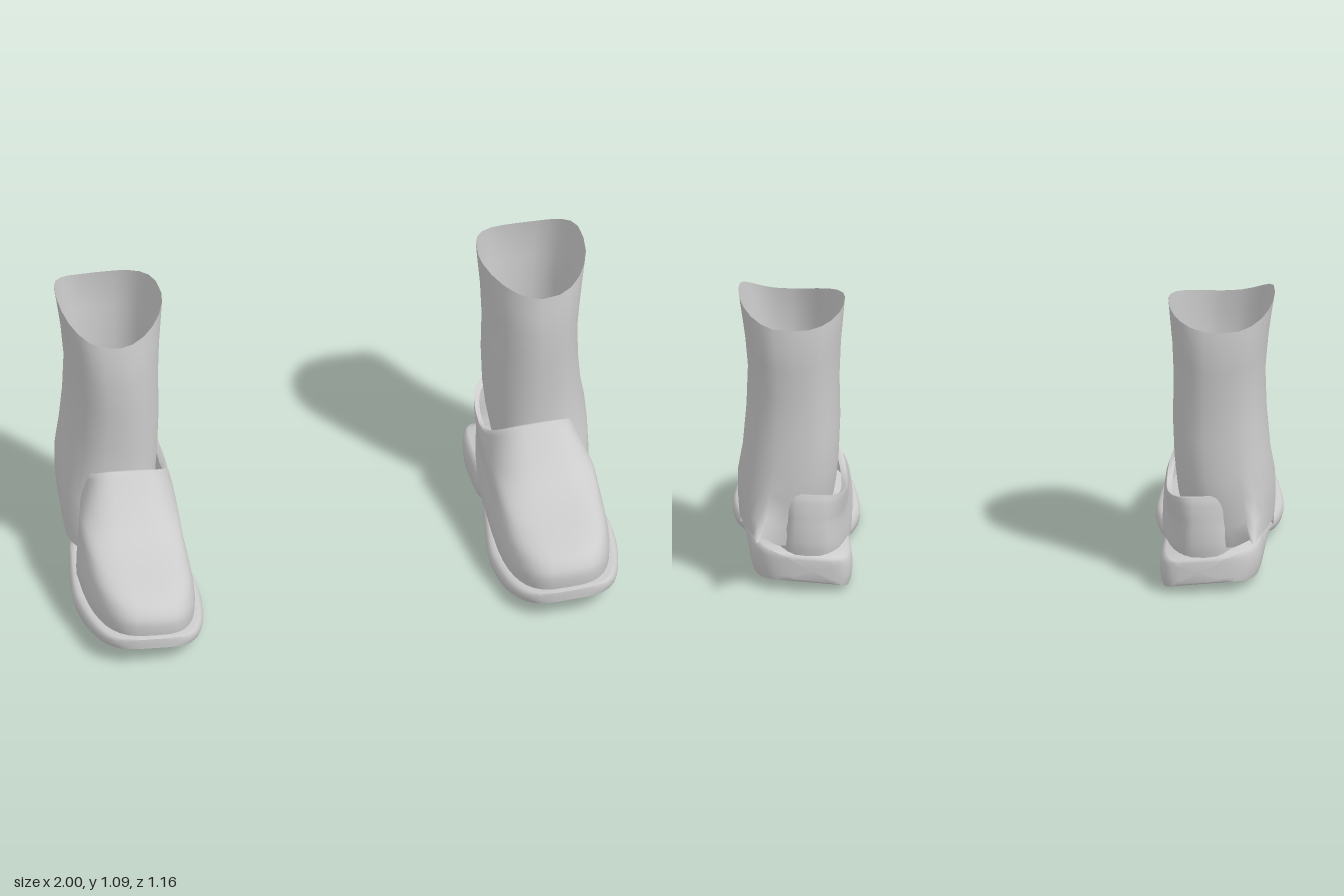
import * as THREE from 'three';
import { toCreasedNormals } from 'three/addons/utils/BufferGeometryUtils.js';

const CX = 0.765; // boot centre line
const signedPow = (v, p) => Math.sign(v) * Math.abs(v) ** p;
const { lerp, clamp } = THREE.MathUtils;
const tilt = (x) => 0.065 * (x - CX); // outer edge of the foot is raised

// Add Catmull-Rom rows between the given rows of numbers
function smoothRows(rows, steps) {
  const out = [];
  const at = (i) => rows[clamp(i, 0, rows.length - 1)];
  for (let i = 0; i < rows.length - 1; i++) {
    for (let k = 0; k < steps; k++) {
      const t = k / steps;
      out.push(rows[i].map((b, m) => {
        const a = at(i - 1)[m], c = at(i + 1)[m], d = at(i + 2)[m];
        return b + 0.5 * t * (c - a + t * (2 * a - 5 * b + 4 * c - d + t * (3 * (b - c) + d - a)));
      }));
    }
  }
  out.push(rows[rows.length - 1]);
  return out;
}

// Skin a list of closed rings; side = -1 builds the mirrored boot
function loft(rings, side) {
  const n = rings[0].length, index = [];
  for (let i = 0; i < rings.length - 1; i++) {
    for (let j = 0; j < n; j++) {
      const a = i * n + j, b = i * n + (j + 1) % n, c = a + n, d = b + n;
      if (side > 0) index.push(a, b, d, a, d, c);
      else index.push(a, d, b, a, c, d);
    }
  }
  const geo = new THREE.BufferGeometry();
  const pos = rings.flat().flatMap(([x, y, z]) => [x * side, y, z]);
  geo.setAttribute('position', new THREE.Float32BufferAttribute(pos, 3));
  geo.setIndex(index);
  geo.computeVertexNormals();
  return geo;
}

// Sole and heel block: slices from back to front
function soleGeometry(side) {
  // z, inner x, outer x, bottom y, top y
  const stations = smoothRows([
    [-0.475, 0.63, 0.77, 0.05, 0.125],
    [-0.465, 0.59, 0.835, 0.038, 0.138],
    [-0.43, 0.565, 0.885, 0.028, 0.147],
    [-0.35, 0.557, 0.918, 0.02, 0.147],
    [-0.21, 0.565, 0.932, 0.016, 0.14],
    [-0.12, 0.57, 0.945, 0.056, 0.125],
    [-0.07, 0.567, 0.955, 0.066, 0.115],
    [0.05, 0.552, 0.98, 0.036, 0.095],
    [0.2, 0.535, 0.998, 0.015, 0.085],
    [0.32, 0.543, 0.99, 0.02, 0.088],
    [0.42, 0.56, 0.972, 0.036, 0.096],
    [0.5, 0.59, 0.945, 0.053, 0.104],
    [0.545, 0.625, 0.91, 0.064, 0.11],
    [0.567, 0.66, 0.87, 0.07, 0.115],
    [0.578, 0.71, 0.82, 0.075, 0.115],
  ], 3);
  const section = [[1, 0.4], [1, 0.6], [0.98, 0.82], [0.94, 0.95], [0.88, 1], [-0.88, 1], [-0.94, 0.95],
    [-0.98, 0.82], [-1, 0.6], [-1, 0.4], [-0.98, 0.14], [-0.94, 0], [0.94, 0], [0.98, 0.14]];
  const slice = ([z, xi, xo, yb, yt], size) => section.map(([u, v]) => {
    const x = (xi + xo) / 2 + size * u * (xo - xi) / 2;
    const skew = 0.1 * clamp((-0.3 - z) / 0.17, 0, 1) * (x - 0.68); // back of the heel turns outward
    return [x, lerp(yb, yt, 0.5 + size * (v - 0.5)) + tilt(x), z + Math.max(0, skew)];
  });
  const rings = stations.map((s) => slice(s, 1));
  rings.unshift(slice(stations[0], 0));
  rings.push(slice(stations[stations.length - 1], 0));
  return toCreasedNormals(loft(rings, side), 0.75);
}

// Shoe upper: rings rising from the welt to the ankle opening
function upperGeometry(side) {
  // front z, back z, widest z, half width, front y, side y, back y
  const rows = smoothRows([
    [0.548, -0.455, 0.12, 0.2, 0.095, 0.075, 0.13],
    [0.553, -0.462, 0.12, 0.203, 0.14, 0.12, 0.17],
    [0.546, -0.464, 0.11, 0.2, 0.18, 0.16, 0.2],
    [0.505, -0.464, 0.09, 0.195, 0.22, 0.2, 0.235],
    [0.41, -0.462, 0.04, 0.19, 0.247, 0.24, 0.27],
    [0.3, -0.46, -0.02, 0.19, 0.271, 0.275, 0.3],
    [0.19, -0.457, -0.08, 0.189, 0.311, 0.307, 0.325],
    [0.1, -0.453, -0.14, 0.186, 0.382, 0.33, 0.35],
    [0.02, -0.445, -0.2, 0.179, 0.463, 0.345, 0.375],
  ], 3);
  rows.push([-0.005, -0.425, -0.2, 0.158, 0.45, 0.33, 0.36]); // rolled-in rim
  const N = 40;
  const rings = rows.map(([zf, zb, zc, w, yf, ys, yb]) => Array.from({ length: N }, (_, j) => {
    const t = j / N * Math.PI * 2, c = Math.cos(t), s = Math.sin(t);
    const z = zc + signedPow(c, 0.75) * (c > 0 ? zf - zc : zc - zb);
    const back = clamp((0.1 - z) / 0.5, 0, 1); // heel is narrower and set inward
    const waist = s > 0 ? 0.012 * clamp((0.05 - z) / 0.1, 0, 1) : 0;
    const x = CX - 0.045 * back + signedPow(s, 0.65) * (w * (1 - 0.2 * back) - waist);
    const y = lerp(ys, c > 0 ? yf : yb, Math.abs(c) ** 1.1);
    return [x, y + tilt(x), z];
  }));
  return loft(rings, side);
}

// Shaft: open tube with an uneven rim and a flared point at the heel
function shaftGeometry(side) {
  // height, front z, back z, inner x, outer x
  const rows = [
    [0.12, 0.05, -0.42, 0.655, 0.968],
    [0.2, 0.025, -0.43, 0.635, 0.974],
    [0.3, 0, -0.445, 0.618, 0.972],
    [0.4, -0.012, -0.455, 0.608, 0.955],
    [0.55, -0.01, -0.45, 0.602, 0.942],
    [0.7, 0, -0.452, 0.605, 0.937],
    [0.83, 0.005, -0.462, 0.6, 0.948],
    [0.92, 0, -0.467, 0.592, 0.96],
    [1.0, -0.01, -0.46, 0.585, 0.972],
  ];
  const N = 24, SPIKE = 10, tip = [0.9, 0.235, -0.58];
  const across = [1, 0.5, 0.16], upward = [1, 0.32, 0.08]; // how far the point drags its neighbours
  const rings = rows.map(([h, zf, zb, xi, xo], i) => Array.from({ length: N }, (_, j) => {
    const t = j / N * Math.PI * 2, c = Math.cos(t), s = Math.sin(t);
    const round = c > 0 && s < 0 ? lerp(0.75, 1.1, h) : 0.8; // inner front corner is softer at the top
    const x = (xi + xo) / 2 + signedPow(s, round) * (xo - xi) / 2;
    const z = (zf + zb) / 2 + signedPow(c, round) * (zf - zb) / 2;
    const low = s > 0.1 ? 0.21 : 0.16;
    const hem = lerp(0.12, low, clamp((-0.1 - z) / 0.1, 0, 1));
    const rim = (c > 0 ? 1.0 : 1.015) * c * c + (s > 0 ? 1.088 : 1.06) * s * s;
    const p = [x, lerp(hem, rim, (h - 0.12) / 0.88), z];
    const pull = (across[Math.abs(j - SPIKE)] ?? 0) * (upward[i] ?? 0);
    return p.map((v, k) => lerp(v, tip[k], pull));
  }));
  return loft(rings, side);
}

export function createModel() {
  const model = new THREE.Group();
  model.name = 'boots';
  const grey = new THREE.MeshStandardMaterial({ color: 0xcccccc, side: THREE.DoubleSide });
  grey.name = 'grey leather';
  for (const side of [1, -1]) {
    const boot = new THREE.Group();
    boot.name = side > 0 ? 'leftBoot' : 'rightBoot';
    const parts = { sole: soleGeometry, upper: upperGeometry, shaft: shaftGeometry };
    for (const [name, build] of Object.entries(parts)) {
      const mesh = new THREE.Mesh(build(side), grey);
      mesh.name = name;
      boot.add(mesh);
    }
    model.add(boot);
  }
  return model;
}
